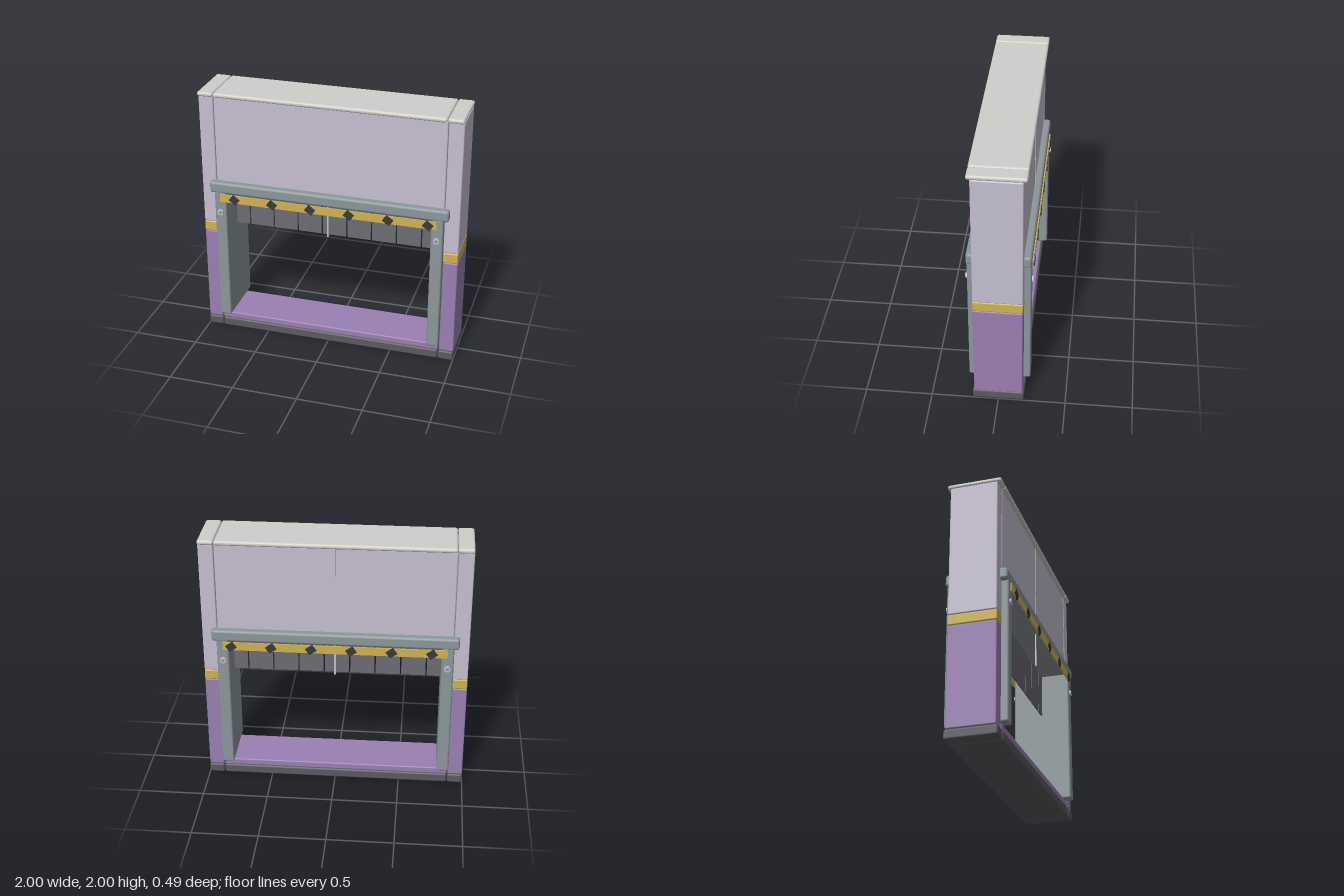
import * as THREE from 'three';
import { RoundedBoxGeometry } from 'three/addons/geometries/RoundedBoxGeometry.js';

const paint = (name, color) => {
  const m = new THREE.MeshStandardMaterial({ color });
  m.name = name;
  return m;
};

export function createModel() {
  const model = new THREE.Group();
  model.name = 'gateway';

  const lavender = paint('pale lavender', 0xc6bfd1);
  const purple = paint('purple', 0x9a80b3);
  const yellow = paint('yellow', 0xcfb352);
  const steel = paint('steel grey', 0x8c979b);
  const capGrey = paint('light grey', 0xd0d0ca);
  const baseGrey = paint('dark grey', 0x5a5a60);
  const flapGrey = paint('flap grey', 0x6c6c74);
  const black = paint('near black', 0x363b3d);

  // Rounded block given by its x and y limits and half depth
  const block = (name, mat, x0, x1, y0, y1, halfZ, r = 0.01) => {
    const geo = new RoundedBoxGeometry(x1 - x0, y1 - y0, halfZ * 2, 3, r);
    const mesh = new THREE.Mesh(geo, mat);
    mesh.position.set((x0 + x1) / 2, (y0 + y1) / 2, 0);
    mesh.name = name;
    model.add(mesh);
    return mesh;
  };
  const plate = (name, mat, w, h, d, x, y, z) => {
    const mesh = new THREE.Mesh(new THREE.BoxGeometry(w, h, d), mat);
    mesh.position.set(x, y, z);
    mesh.name = name;
    model.add(mesh);
    return mesh;
  };
  // Same block on the left and the right
  const pair = (name, mat, x0, x1, ...rest) => {
    block(name + 'Left', mat, x0, x1, ...rest);
    block(name + 'Right', mat, -x1, -x0, ...rest);
  };

  // Side pillars, bottom to top
  pair('pillarBase', baseGrey, 0.882, 1, 0, 0.075, 0.191, 0.015);
  pair('pillarLower', purple, 0.888, 1, 0.075, 0.845, 0.18);
  pair('pillarBand', yellow, 0.886, 1, 0.845, 0.927, 0.182);
  pair('pillarUpper', lavender, 0.886, 1, 0.927, 1.966, 0.18);
  pair('pillarCap', capGrey, 0.88, 1, 1.965, 2, 0.207, 0.016);

  // Middle section: sill, wall above the opening and its cap
  block('sillBase', baseGrey, -0.878, 0.878, 0, 0.075, 0.191, 0.015);
  block('sill', purple, -0.88, 0.88, 0.072, 0.125, 0.18);
  block('upperWall', lavender, -0.882, 0.882, 1.22, 1.966, 0.179);
  block('wallCap', capGrey, -0.878, 0.878, 1.965, 2, 0.207, 0.016);

  // Door frame
  pair('frameLeg', steel, 0.796, 0.888, 0.13, 1.22, 0.23, 0.015);
  block('frameHeader', steel, -0.925, 0.925, 1.2, 1.29, 0.232, 0.02);

  // Hanging flaps
  for (let i = -4; i <= 4; i++) {
    plate('flap', flapGrey, 0.186, 0.36, 0.012, i * 0.196, 1.035, 0);
  }

  // Details repeated on the front and the back
  for (const side of [1, -1]) {
    plate('wallSeam', lavender, 0.012, 1.03, 0.01, 0, 1.445, side * 0.178);
    plate('warningStrip', yellow, 1.68, 0.064, 0.01, 0, 1.168, side * 0.234);
    for (let i = 0; i < 6; i++) {
      const mark = plate('warningMark', black, 0.066, 0.058, 0.009, -0.724 + i * 0.3, 1.165, side * 0.2405);
      mark.rotation.z = -0.62;
    }
    for (const x of [-0.842, 0.842]) {
      const washer = new THREE.Mesh(new THREE.CylinderGeometry(0.024, 0.024, 0.014, 20), lavender);
      washer.rotation.x = Math.PI / 2;
      washer.position.set(x, 1.045, side * 0.235);
      washer.name = 'boltWasher';
      const bolt = new THREE.Mesh(new THREE.CylinderGeometry(0.012, 0.012, 0.018, 16), steel);
      bolt.rotation.x = Math.PI / 2;
      bolt.position.set(x, 1.045, side * 0.236);
      bolt.name = 'bolt';
      model.add(washer, bolt);
    }
  }
  return model;
}
